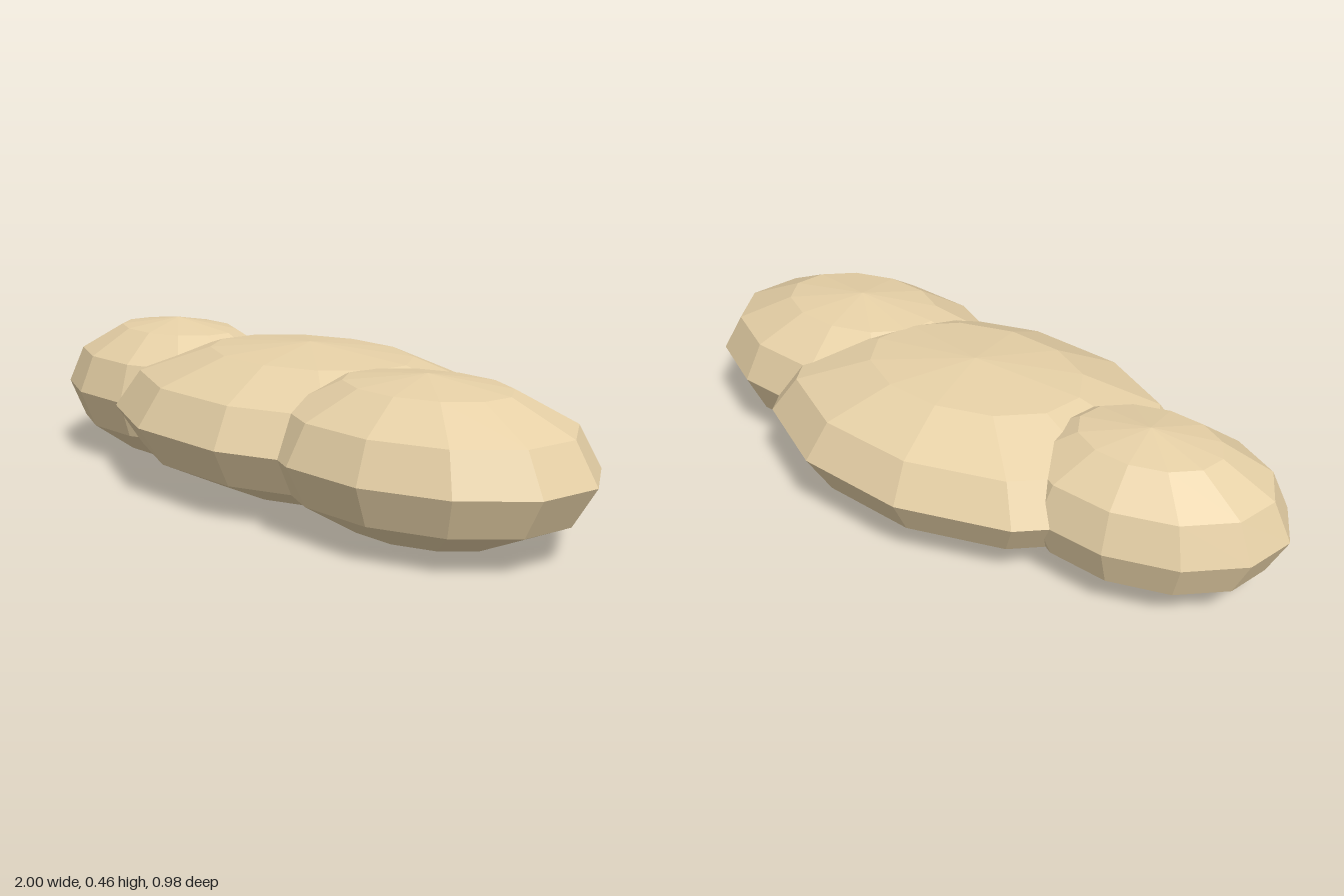
import * as THREE from 'three';

export function createModel() {
  const group = new THREE.Group();
  group.name = 'lobedMound';
  const material = new THREE.MeshStandardMaterial({ color: 0xe6d0a6, flatShading: true });
  const halfHeight = 0.232;

  // Flattened low-poly ellipsoid lobe
  const addLobe = (name, x, z, rx, rz) => {
    const geometry = new THREE.SphereGeometry(1, 12, 6);
    geometry.scale(rx, halfHeight, rz);
    const lobe = new THREE.Mesh(geometry, material);
    lobe.name = name;
    lobe.position.set(x, 0.235, z);
    group.add(lobe);
  };

  // Three overlapping lobes, the largest in the middle
  addLobe('centerLobe', 0, -0.027, 0.668, 0.463);
  addLobe('leftLobe', 0.5, 0.141, 0.5, 0.347);
  addLobe('rightLobe', -0.584, -0.11, 0.416, 0.29);

  return group;
}
